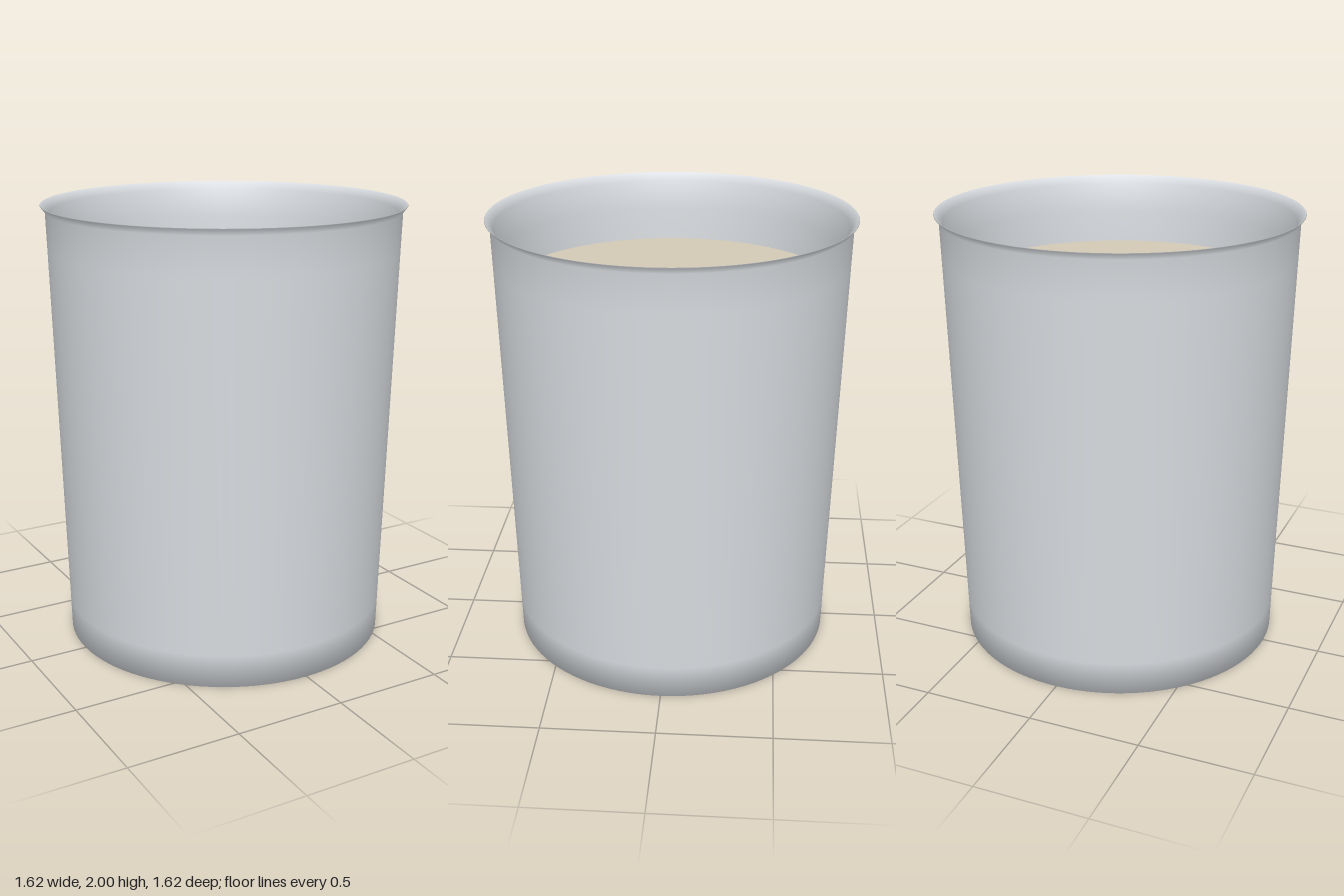
import * as THREE from 'three';

const SEGMENTS = 96;

export function createModel() {
  const model = new THREE.Group();
  model.name = 'cup';

  const metal = new THREE.MeshStandardMaterial({ color: 0xd8dce0 });
  metal.name = 'silver';
  const cream = new THREE.MeshStandardMaterial({ color: 0xd4c9b6 });
  cream.name = 'cream';

  // Tapered shell: underside, outer wall, flared lip, inner wall and floor
  const profile = [
    [0, 0], [0.63, 0], [0.735, 0], [0.739, 0.15],
    [0.784, 1.8], [0.789, 1.97], [0.81, 1.997], [0.808, 2],
    [0.772, 1.965], [0.766, 1.83], [0.755, 1.68],
    [0.715, 0.15], [0.7, 0.04], [0.6, 0.03], [0, 0.03],
  ].map(([r, y]) => new THREE.Vector2(r, y));
  const shell = new THREE.Mesh(new THREE.LatheGeometry(profile, SEGMENTS), metal);
  shell.name = 'cupShell';
  model.add(shell);

  // Flat filling surface below the lip
  const filling = new THREE.Mesh(new THREE.CircleGeometry(0.755, SEGMENTS), cream);
  filling.name = 'filling';
  filling.rotation.x = -Math.PI / 2;
  filling.position.y = 1.68;
  model.add(filling);

  return model;
}
